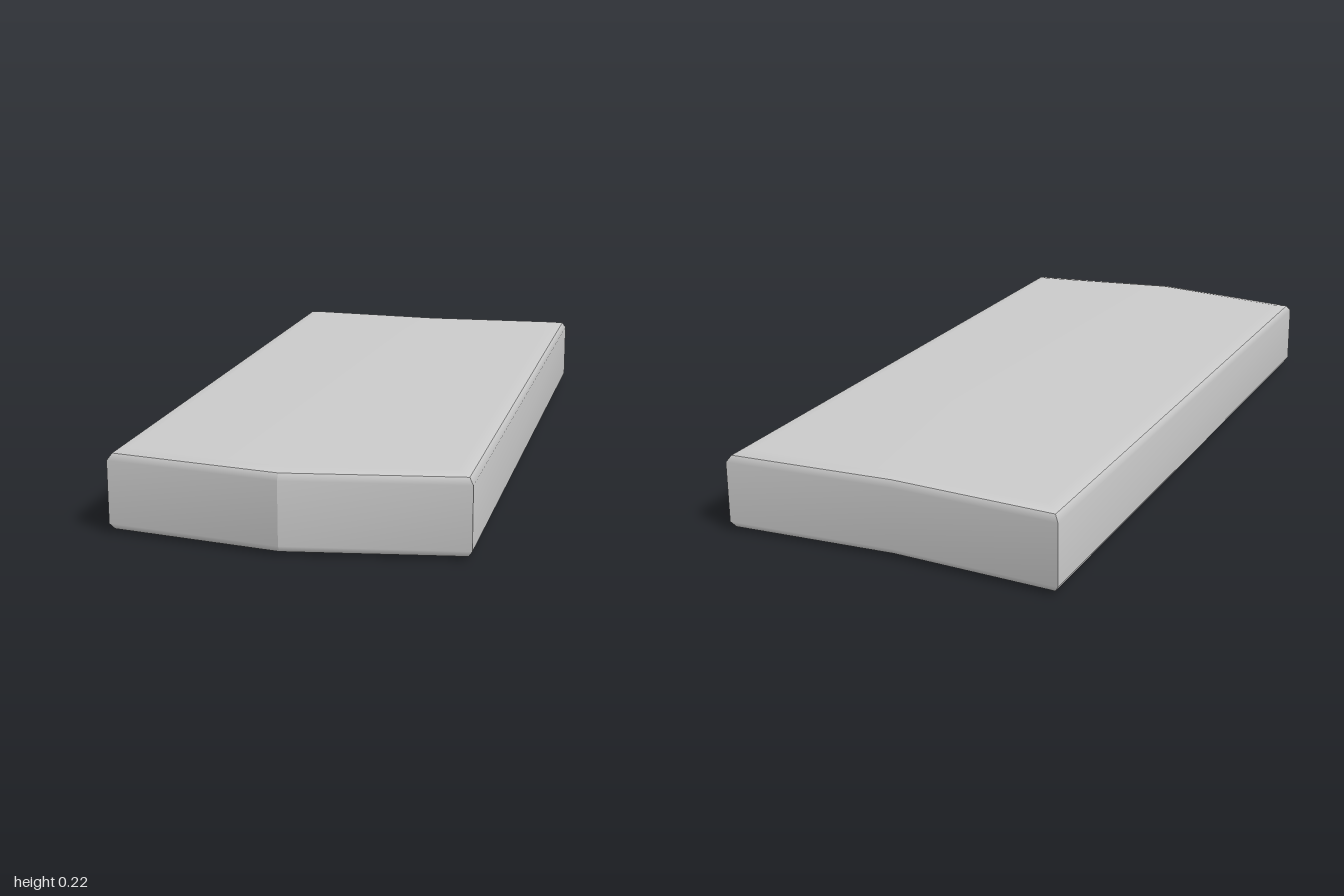
import * as THREE from 'three';

const HEIGHT = 0.216;
const HALF = 0.466;

// Plan outline (pointed front, shallow notched back), drawn in by d, at height y.
function ring(d, y) {
  const x = HALF - d;
  return [[0, 1 - d], [x, 0.93 - d], [x, -1 + d], [0, -0.975 + d], [-x, -1 + d], [-x, 0.93 - d]]
    .map(([px, pz]) => [px, y, pz]);
}

// Smooth-shaded surface from rows of points sharing vertices.
function surface(points, index) {
  const geometry = new THREE.BufferGeometry();
  geometry.setAttribute('position', new THREE.Float32BufferAttribute(points.flat(), 3));
  geometry.setIndex(index);
  geometry.computeVertexNormals();
  return geometry;
}

// Wall following some outline corners through the rings, bottom to top.
function wall(corners, rings) {
  const n = corners.length;
  const points = rings.flatMap((r) => corners.map((c) => r[c]));
  const index = [];
  for (let j = 0; j < rings.length - 1; j++) {
    for (let i = 0; i < n - 1; i++) {
      const a = j * n + i, b = a + 1;
      index.push(a, b, b + n, a, b + n, a + n);
    }
  }
  return surface(points, index);
}

// Gently crowned face: shallow sloped border plus flat centre.
function face(outer, inner, flip) {
  const index = [];
  for (let i = 0; i < 6; i++) {
    const k = (i + 1) % 6;
    index.push(i, k, k + 6, i, k + 6, i + 6);
  }
  index.push(6, 7, 9, 7, 8, 9, 6, 9, 11, 9, 10, 11);
  if (flip) index.reverse();
  return surface([...outer, ...inner], index);
}

export function createModel() {
  const model = new THREE.Group();
  model.name = 'chevronSlab';
  const material = new THREE.MeshStandardMaterial({ color: 0xcccccc });
  const add = (name, geometry) => {
    const mesh = new THREE.Mesh(geometry, material);
    mesh.name = name;
    model.add(mesh);
  };

  // Walls with a rounded bevel at the top and bottom
  const rings = [[0.011, 0.008], [0, 0.025], [0, HEIGHT - 0.025], [0.011, HEIGHT - 0.008]]
    .map(([d, y]) => ring(d, y));
  const walls = {
    frontLeft: [0, 1], leftSide: [1, 2], back: [2, 3, 4], rightSide: [4, 5], frontRight: [5, 0],
  };
  for (const [name, corners] of Object.entries(walls)) add(name, wall(corners, rings));

  // Top and bottom faces
  add('topFace', face(rings[3], ring(0.045, HEIGHT), false));
  add('bottomFace', face(rings[0], ring(0.045, 0), true));
  return model;
}
